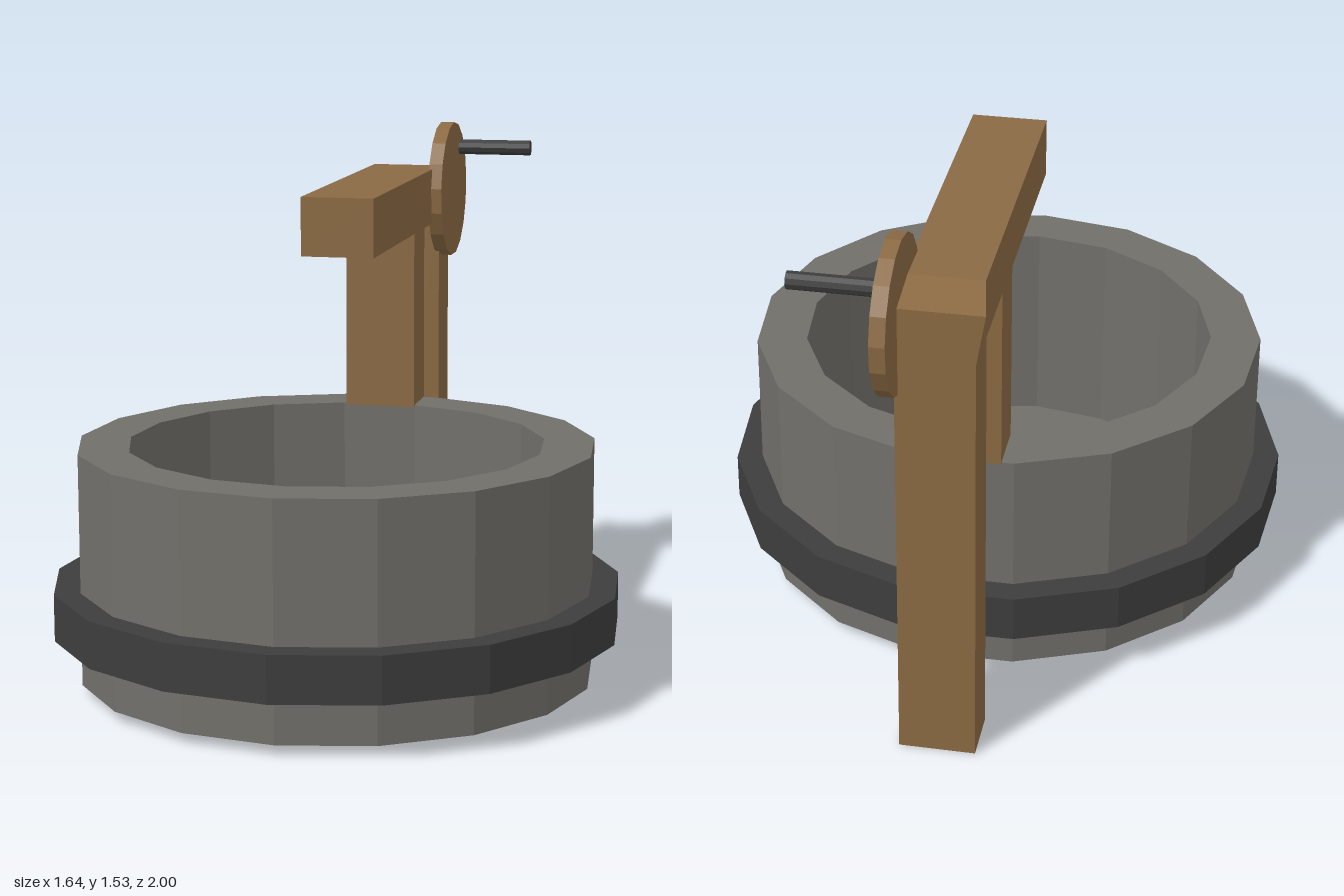
import * as THREE from 'three';

export function createModel() {
  const model = new THREE.Group();
  model.name = 'stoneTubWithCrane';

  const material = (color) => new THREE.MeshStandardMaterial({ color, flatShading: true });
  const stone = material(0x716f6a);
  const iron = material(0x3d3d3d);
  const wood = material(0x8b6a43);

  const add = (parent, name, geometry, mat, x = 0, y = 0, z = 0) => {
    const mesh = new THREE.Mesh(geometry, mat);
    mesh.name = name;
    mesh.position.set(x, y, z);
    parent.add(mesh);
    return mesh;
  };

  // Tub: seventeen-sided lathes with one corner at the back
  const SIDES = 17;
  const turned = (profile) => new THREE.LatheGeometry(
    profile.map(([r, y]) => new THREE.Vector2(r, y)), SIDES, Math.PI);

  add(model, 'tub', turned([
    [0, 0.03], [0.746, 0.03], [0.746, 0.7], [0.6, 0.7], [0.6, 0.07], [0, 0.07],
  ]), stone, 0, 0, 0.19);

  add(model, 'hoop', turned([
    [0.735, 0.165], [0.822, 0.165], [0.822, 0.3], [0.735, 0.3], [0.735, 0.165],
  ]), iron, 0, 0, 0.19);

  // Crane frame: local -z runs from the beam tip over the tub to the far post
  const crane = new THREE.Group();
  crane.name = 'crane';
  crane.position.set(-0.01, 0, 0.175);
  crane.rotation.y = 0.547;
  model.add(crane);

  const WIDTH = 0.212, DEPTH = 0.152;
  const BEAM_BOTTOM = 1.23, BEAM_TOP = 1.4;

  // Beam with a slightly skewed, sloping far end
  const beamHeight = BEAM_TOP - BEAM_BOTTOM;
  const beamLength = 1.104;
  const beam = new THREE.BoxGeometry(WIDTH, beamHeight, beamLength, 1, 1, 8);
  const p = beam.attributes.position;
  for (let i = 0; i < p.count; i++) {
    const isEnd = p.getZ(i) < -beamLength / 2 + 0.01;
    if (isEnd && p.getY(i) > 0) {
      p.setY(i, p.getY(i) - 0.025);
      if (p.getX(i) < 0) p.setX(i, p.getX(i) - 0.025);
    }
  }
  beam.computeVertexNormals();
  add(crane, 'beam', beam, wood, 0, (BEAM_BOTTOM + BEAM_TOP) / 2, -beamLength / 2);

  // Long post to the ground, short post on the tub rim
  const posts = [['groundPost', 0, -1.028], ['rimPost', 0.695, -0.642]];
  for (const [name, bottom, z] of posts) {
    const height = BEAM_BOTTOM - bottom;
    add(crane, name, new THREE.BoxGeometry(WIDTH, height, DEPTH), wood,
      0, bottom + height / 2, z);
  }

  // Crank wheel on the side of the beam and its handle
  const wheel = add(crane, 'crankWheel',
    new THREE.CylinderGeometry(0.212, 0.212, 0.042, SIDES, 1, false, -Math.PI / 2),
    wood, 0.117, 1.32, -1.034);
  wheel.rotation.z = -Math.PI / 2;

  const handle = add(crane, 'crankHandle',
    new THREE.CylinderGeometry(0.024, 0.024, 0.25, 10), iron, 0.243, 1.445, -1.132);
  handle.rotation.z = -Math.PI / 2;

  return model;
}
